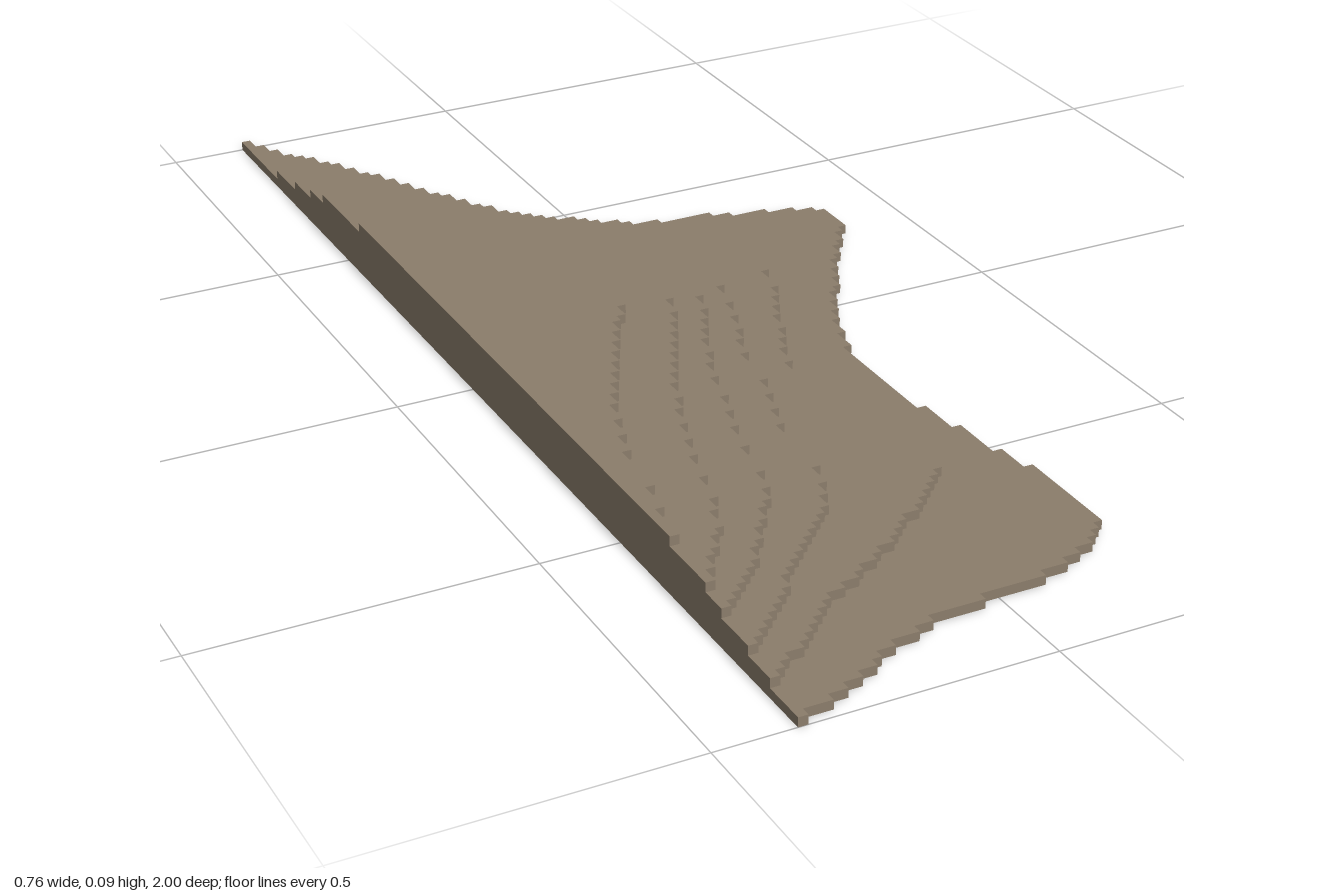
import * as THREE from 'three';

const CELL = 2 / 137;   // size of one block
const ROWS = 137;
const LEFT = -0.38;     // straight cut side

// Edge position at a given z, from [z, x] points in order of z.
function edgeAt(points, z) {
  for (let i = 1; i < points.length; i++) {
    const [z0, x0] = points[i - 1];
    const [z1, x1] = points[i];
    if (z >= z0 && z <= z1) return x0 + ((x1 - x0) * (z - z0)) / (z1 - z0);
  }
  return null;
}

// One terrace: the edge snapped to blocks, extruded one block high.
function terraceGeometry(points) {
  const outline = [];
  for (let r = 0; r < ROWS; r++) {
    const z0 = -1 + r * CELL;
    const x = edgeAt(points, z0 + CELL / 2);
    if (x === null) continue;
    const right = LEFT + Math.max(1, Math.round((x - LEFT) / CELL)) * CELL;
    const last = outline[outline.length - 1];
    if (last && Math.abs(last.x - right) < 1e-6) last.y = -(z0 + CELL);
    else outline.push(new THREE.Vector2(right, -z0), new THREE.Vector2(right, -(z0 + CELL)));
  }
  const start = outline[0].y;
  const end = outline[outline.length - 1].y;
  outline.push(new THREE.Vector2(LEFT, end), new THREE.Vector2(LEFT, start));
  const geometry = new THREE.ExtrudeGeometry(new THREE.Shape(outline), { depth: CELL, bevelEnabled: false });
  return geometry.rotateX(-Math.PI / 2);
}

export function createModel() {
  const model = new THREE.Group();
  model.name = 'terracedHill';
  const stone = new THREE.MeshStandardMaterial({ color: 0x8b7d6b });
  stone.name = 'stone brown';

  let level = 0;
  const addTerrace = (name, points) => {
    const mesh = new THREE.Mesh(terraceGeometry(points), stone);
    mesh.name = name;
    mesh.position.y = level++ * CELL;
    model.add(mesh);
  };

  addTerrace('baseTerrace', [
    [-1, -0.375], [-0.935, -0.34], [-0.82, -0.26], [-0.675, -0.18], [-0.57, -0.118], [-0.5, -0.065],
    [-0.447, 0], [-0.384, 0.09], [-0.368, 0.2], [-0.342, 0.25], [-0.33, 0.32], [-0.31, 0.36],
    [-0.28, 0.38], [-0.235, 0.375], [-0.2, 0.35], [-0.115, 0.295], [-0.04, 0.257], [0.01, 0.22],
    [0.07, 0.195], [0.135, 0.173], [0.18, 0.16], [0.32, 0.16], [0.4, 0.173], [0.495, 0.19],
    [0.57, 0.205], [0.61, 0.215], [0.76, 0.215], [0.81, 0.16], [0.845, 0.085], [0.86, -0.02],
    [0.87, -0.105], [0.915, -0.21], [0.95, -0.26], [1, -0.375],
  ]);
  addTerrace('secondTerrace', [
    [-0.82, -0.375], [-0.745, -0.33], [-0.68, -0.287], [-0.617, -0.26], [-0.53, -0.18], [-0.463, -0.128],
    [-0.41, -0.065], [-0.357, 0.004], [-0.31, 0.083], [-0.26, 0.136], [-0.205, 0.175], [-0.14, 0.173],
    [-0.06, 0.157], [0.02, 0.12], [0.1, 0.083], [0.18, 0.051], [0.23, 0.04], [0.32, 0.051],
    [0.4, 0.067], [0.48, 0.078], [0.56, 0.083], [0.59, 0.057], [0.633, 0.004], [0.7, -0.076],
    [0.755, -0.155], [0.8, -0.234], [0.866, -0.3], [0.925, -0.375],
  ]);
  addTerrace('thirdTerrace', [
    [-0.737, -0.375], [-0.645, -0.33], [-0.565, -0.287], [-0.485, -0.234], [-0.415, -0.155], [-0.34, -0.076],
    [-0.29, -0.012], [-0.225, 0.045], [-0.155, 0.067], [-0.075, 0.07], [0, 0.046], [0.08, 0.02],
    [0.145, -0.007], [0.24, -0.023], [0.31, -0.044], [0.35, -0.065], [0.465, -0.07], [0.53, -0.086],
    [0.595, -0.118], [0.655, -0.18], [0.73, -0.245], [0.81, -0.313], [0.87, -0.375],
  ]);
  addTerrace('fourthTerrace', [
    [-0.665, -0.375], [-0.575, -0.33], [-0.475, -0.287], [-0.41, -0.234], [-0.34, -0.155], [-0.27, -0.076],
    [-0.21, -0.017], [-0.15, 0.01], [-0.025, 0.01], [0.04, -0.017], [0.11, -0.05], [0.2, -0.086],
    [0.31, -0.118], [0.4, -0.15], [0.495, -0.165], [0.55, -0.18], [0.61, -0.223], [0.71, -0.287],
    [0.795, -0.375],
  ]);
  addTerrace('fifthTerrace', [
    [-0.603, -0.375], [-0.527, -0.34], [-0.437, -0.298], [-0.37, -0.245], [-0.3, -0.18], [-0.235, -0.118],
    [-0.167, -0.065], [-0.1, -0.047], [-0.013, -0.047], [0.055, -0.076], [0.125, -0.113], [0.215, -0.155],
    [0.31, -0.197], [0.375, -0.218], [0.45, -0.245], [0.56, -0.27], [0.63, -0.298], [0.695, -0.34],
    [0.75, -0.375],
  ]);
  addTerrace('topTerrace', [
    [-0.44, -0.375], [-0.363, -0.34], [-0.3, -0.287], [-0.225, -0.223], [-0.16, -0.17], [-0.093, -0.135],
    [0.003, -0.135], [0.06, -0.17], [0.135, -0.208], [0.215, -0.25], [0.28, -0.282], [0.36, -0.308],
    [0.425, -0.33], [0.53, -0.345], [0.65, -0.375],
  ]);
  return model;
}
